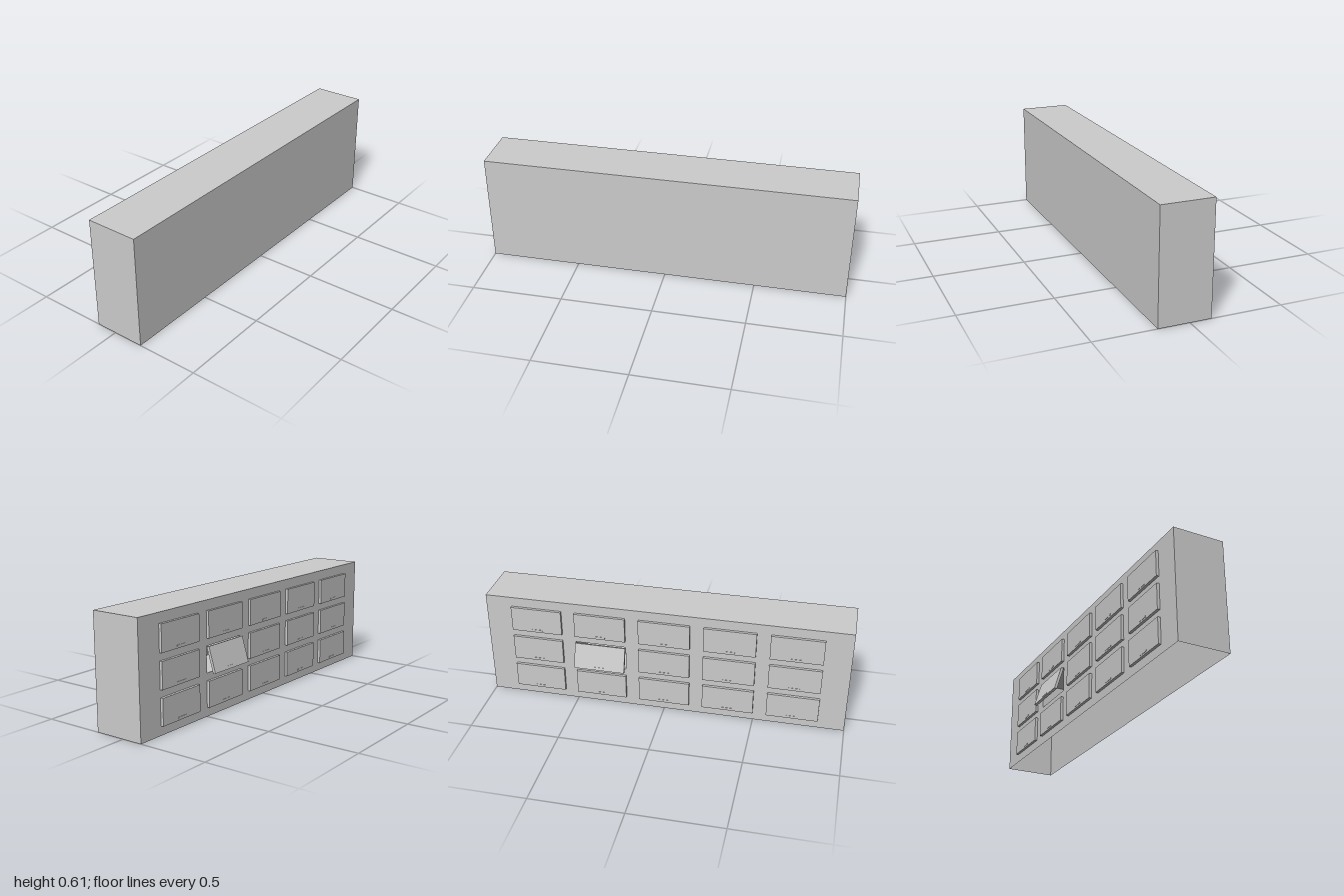
import * as THREE from 'three';

const X0 = -0.115, X1 = 0.168, H = 0.61, L = 2;    // cabinet shell extents
const DW = 0.283, DH = 0.142, DT = 0.015;          // door width, height, thickness
const COL = 0.357, ROW = 0.1825, ROW0 = 0.049;     // door spacing
const OPEN_COL = 1, OPEN_ROW = 1, OPEN_ANGLE = -0.29, BAY_DEPTH = 0.22;

const solid = new THREE.MeshStandardMaterial({ color: 0xcccccc });
const thin = new THREE.MeshStandardMaterial({ color: 0xcccccc, side: THREE.DoubleSide });

function add(parent, name, geometry, material, x = 0, y = 0, z = 0) {
  const mesh = new THREE.Mesh(geometry, material);
  mesh.name = name;
  mesh.position.set(x, y, z);
  parent.add(mesh);
  return mesh;
}

// Rectangular panel facing a given axis, centred at a point
function panel(parent, name, w, h, rx, ry, x, y, z) {
  add(parent, name, new THREE.PlaneGeometry(w, h), thin, x, y, z).rotation.set(rx, ry, 0);
}

// Door slab hung from its top outer edge, with a pull near the bottom
function makeDoor() {
  const door = new THREE.Group();
  door.name = 'door';
  add(door, 'doorPanel', new THREE.BoxGeometry(DT, DH, DW), solid, DT / 2, -DH / 2, 0);
  add(door, 'handle', new THREE.BoxGeometry(0.004, 0.008, 0.06), solid, 0, 0.013 - DH, 0);
  return door;
}

export function createModel() {
  const group = new THREE.Group();
  const Q = Math.PI / 2, D = X1 - X0, mx = (X0 + X1) / 2;
  const colZ = (c) => (c - 2) * COL;
  const rowY = (r) => ROW0 + r * ROW;
  const bz = colZ(OPEN_COL), by = rowY(OPEN_ROW);

  // Shell, open underneath
  const shell = new THREE.Group();
  shell.name = 'cabinetShell';
  group.add(shell);
  panel(shell, 'top', D, L, -Q, 0, mx, H, 0);
  panel(shell, 'plainSide', L, H, 0, Q, X1, H / 2, 0);
  panel(shell, 'frontEnd', D, H, 0, 0, mx, H / 2, 1);
  panel(shell, 'backEnd', D, H, 0, Math.PI, mx, H / 2, -1);

  // Door side with the opening of the open compartment
  const wall = new THREE.Shape();
  wall.moveTo(-1, 0).lineTo(1, 0).lineTo(1, H).lineTo(-1, H).closePath();
  const hole = new THREE.Path();
  hole.moveTo(bz - DW / 2, by).lineTo(bz - DW / 2, by + DH)
    .lineTo(bz + DW / 2, by + DH).lineTo(bz + DW / 2, by).closePath();
  wall.holes.push(hole);
  add(shell, 'doorSide', new THREE.ShapeGeometry(wall), thin, X0).rotation.y = -Q;

  // Compartment behind the open door
  const bay = new THREE.Group();
  bay.name = 'openCompartment';
  group.add(bay);
  const cx = X0 + BAY_DEPTH / 2, cy = by + DH / 2;
  panel(bay, 'compartmentFloor', BAY_DEPTH, DW, -Q, 0, cx, by, bz);
  panel(bay, 'compartmentCeiling', BAY_DEPTH, DW, Q, 0, cx, by + DH, bz);
  panel(bay, 'compartmentBack', DW, DH, 0, -Q, X0 + BAY_DEPTH, cy, bz);
  for (const s of [-1, 1]) panel(bay, 'compartmentWall', BAY_DEPTH, DH, 0, 0, cx, cy, bz + s * DW / 2);

  // Five columns by three rows of doors, one swung open
  for (let c = 0; c < 5; c++) {
    for (let r = 0; r < 3; r++) {
      const door = makeDoor();
      door.position.set(X0 - DT, rowY(r) + DH, colZ(c));
      if (c === OPEN_COL && r === OPEN_ROW) {
        door.name = 'openDoor';
        door.rotation.z = OPEN_ANGLE;
      }
      group.add(door);
    }
  }
  return group;
}
